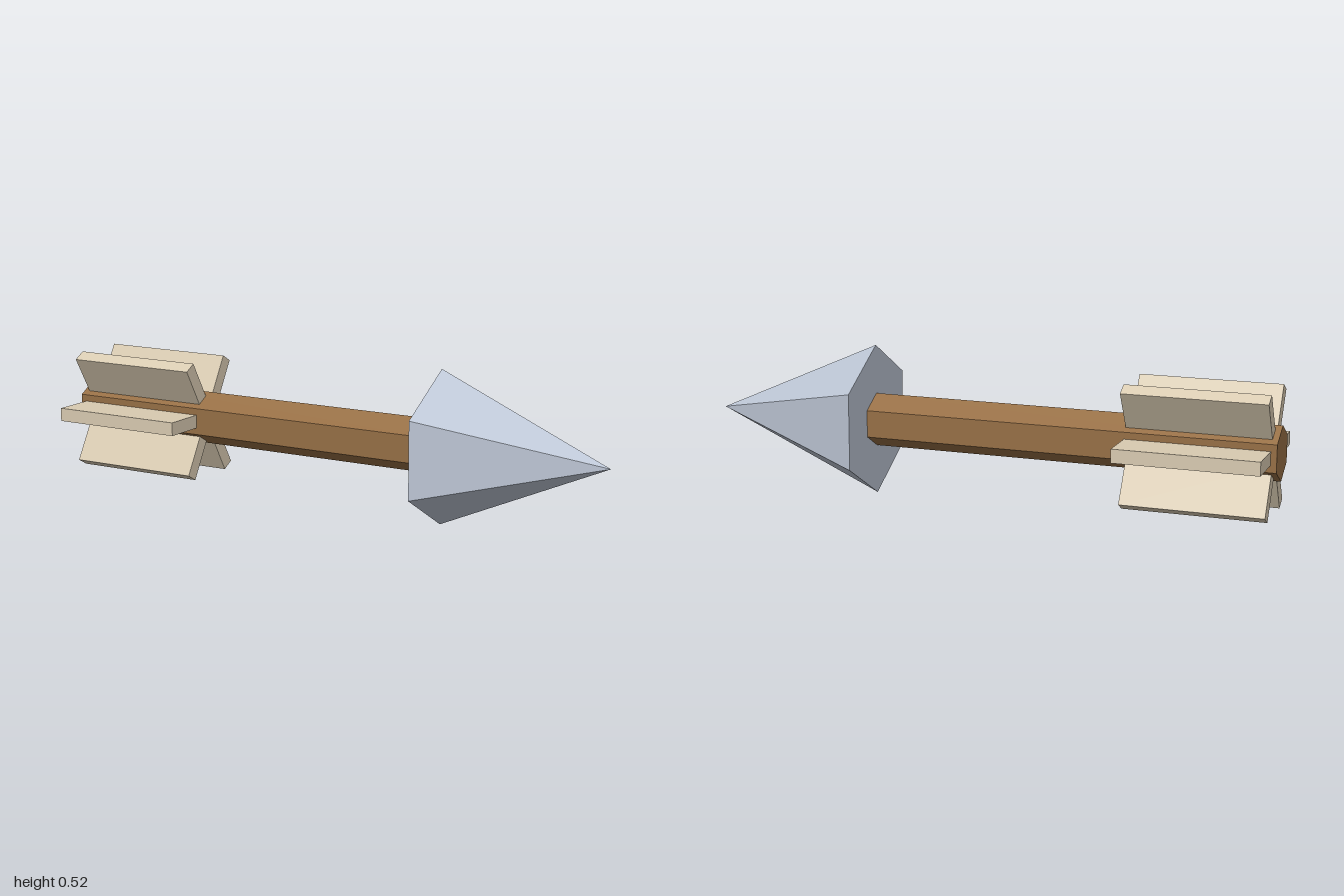
import * as THREE from 'three';

const AXIS_Y = 0.26;

function material(name, color) {
  const m = new THREE.MeshStandardMaterial({ color, flatShading: true });
  m.name = name;
  return m;
}

// Six-sided cylinder or cone along +x, from x0 to x1, with ridges at top and bottom
function hexAlongX(name, rStart, rEnd, x0, x1, mat) {
  const geo = new THREE.CylinderGeometry(rEnd, rStart, x1 - x0, 6, 1, false, Math.PI / 6);
  geo.rotateZ(-Math.PI / 2);
  const mesh = new THREE.Mesh(geo, mat);
  mesh.name = name;
  mesh.position.set((x0 + x1) / 2, AXIS_Y, 0);
  return mesh;
}

export function createModel() {
  const wood = material('wood', 0x966f45);
  const steel = material('steel', 0xbcc5d4);
  const feather = material('feather', 0xd8cab1);

  const arrow = new THREE.Group();
  arrow.name = 'arrow';

  arrow.add(hexAlongX('shaft', 0.092, 0.092, -1, 0.41, wood));
  arrow.add(hexAlongX('arrowhead', 0.26, 0, 0.41, 1, steel));

  // Six fletching vanes around the tail, starting at the front (+z)
  const fletching = new THREE.Group();
  fletching.name = 'fletching';
  fletching.position.set(-0.74, AXIS_Y, 0);
  const inner = 0.05, outer = 0.225;
  const vaneGeo = new THREE.BoxGeometry(0.48, 0.046, outer - inner);
  vaneGeo.translate(0, 0, (inner + outer) / 2);
  for (let i = 0; i < 6; i++) {
    const vane = new THREE.Mesh(vaneGeo, feather);
    vane.name = `vane${i + 1}`;
    vane.rotation.x = (i * Math.PI) / 3;
    fletching.add(vane);
  }
  arrow.add(fletching);

  return arrow;
}
